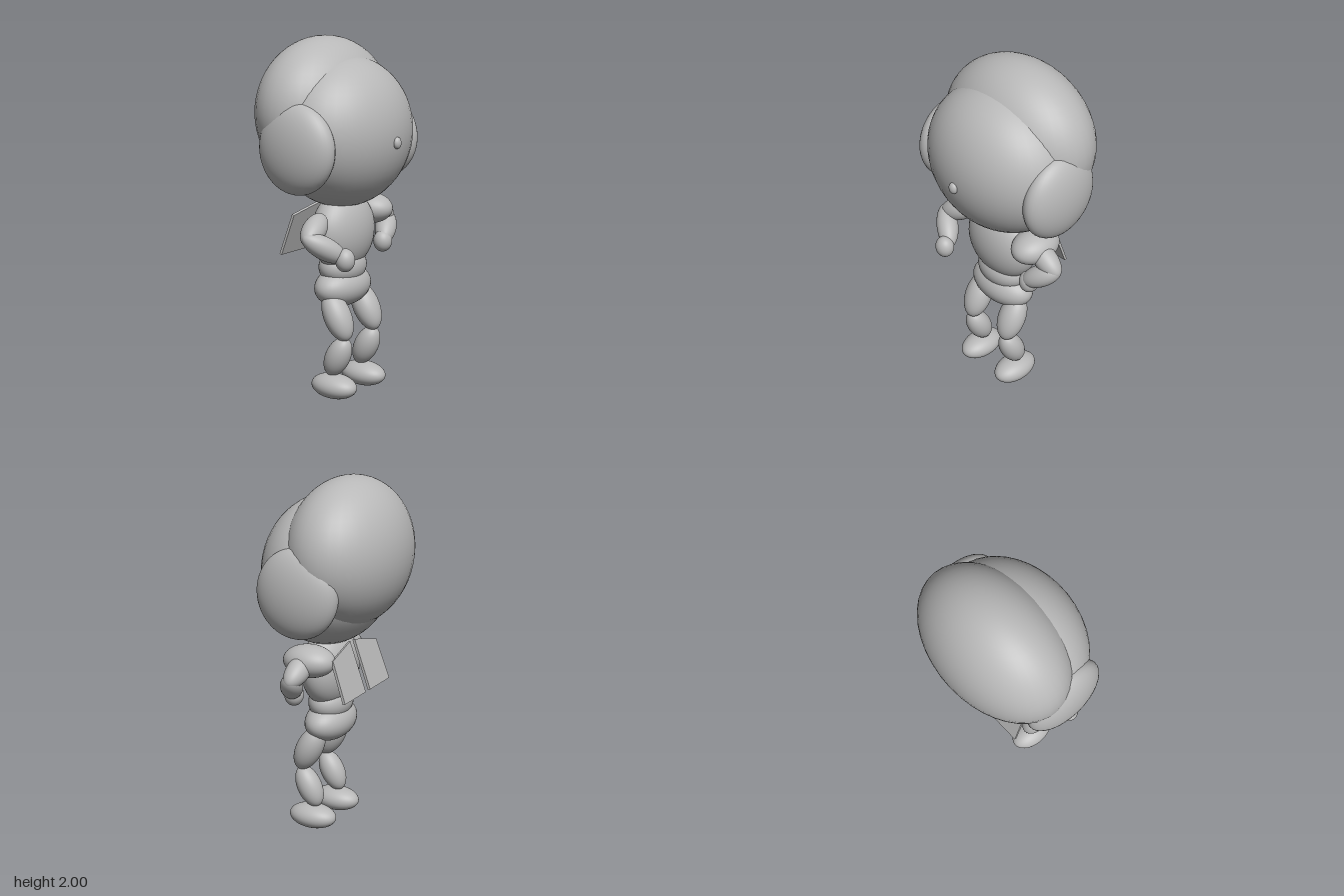
import * as THREE from 'three';

export function createModel() {
  const model = new THREE.Group();
  const grey = new THREE.MeshStandardMaterial({ color: 0xb8b8b8 });
  grey.name = 'plain grey';
  const ball = new THREE.SphereGeometry(1, 40, 28);
  const up = new THREE.Vector3(0, 1, 0);

  // ellipsoid from a centre and three radii
  function ellipsoid(name, centre, radii) {
    const mesh = new THREE.Mesh(ball, grey);
    mesh.name = name;
    mesh.position.set(...centre);
    mesh.scale.set(...radii);
    model.add(mesh);
    return mesh;
  }

  // ellipsoid limb stretched between two tips
  function limb(name, from, to, rx, rz = rx) {
    const a = new THREE.Vector3(...from), b = new THREE.Vector3(...to);
    const middle = a.clone().add(b).multiplyScalar(0.5);
    const mesh = ellipsoid(name, middle.toArray(), [rx, a.distanceTo(b) / 2, rz]);
    mesh.quaternion.setFromUnitVectors(up, b.sub(a).normalize());
  }

  // head
  ellipsoid('face', [0, 1.483, 0.04], [0.45, 0.415, 0.345]);
  ellipsoid('hair', [0, 1.59, -0.09], [0.475, 0.41, 0.315]);
  ellipsoid('nose', [0, 1.44, 0.385], [0.027, 0.032, 0.021]);

  // torso
  ellipsoid('chest', [0, 0.93, 0.035], [0.235, 0.225, 0.14]);
  ellipsoid('waist', [0, 0.73, 0.032], [0.165, 0.11, 0.117]);
  ellipsoid('pelvis', [0, 0.617, 0.033], [0.21, 0.115, 0.127]);

  // arms, bent with the hands towards the hips
  ellipsoid('leftShoulder', [0.253, 1.022, 0.032], [0.112, 0.09, 0.15]);
  limb('leftUpperArm', [0.23, 1.05, 0.04], [0.455, 0.93, 0.055], 0.065);
  limb('leftForearm', [0.45, 0.965, 0.04], [0.26, 0.83, 0.13], 0.062);
  ellipsoid('leftHand', [0.285, 0.83, 0.11], [0.056, 0.063, 0.053]);
  limb('rightUpperArm', [-0.21, 1.04, 0.045], [-0.43, 0.93, 0.1], 0.065);
  limb('rightForearm', [-0.43, 0.965, 0.08], [-0.24, 0.83, 0.22], 0.062);
  ellipsoid('rightHand', [-0.265, 0.832, 0.235], [0.055, 0.063, 0.052]);

  for (const [side, s] of [['left', 1], ['right', -1]]) {
    ellipsoid(side + 'Ear', [s * 0.4, 1.42, 0.02], [0.109, 0.242, 0.236]);

    // legs
    limb(side + 'Thigh', [s * 0.14, 0.604, 0.031], [s * 0.14, 0.346, 0.161], 0.081, 0.075);
    limb(side + 'Calf', [s * 0.14, 0.356, 0.154], [s * 0.14, 0.134, 0.042], 0.07);
    ellipsoid(side + 'Foot', [s * 0.144, 0.073, 0.075], [0.09, 0.07, 0.142]);

    // flat wing plate sloping back from the shoulders
    const outline = new THREE.Shape([[0.027, 0], [0.277, 0], [0.265, 0.24], [0.027, 0.295]]
      .map(([x, y]) => new THREE.Vector2(s * x, y)));
    const plate = new THREE.ExtrudeGeometry(outline, { depth: 0.015, bevelEnabled: false });
    const wing = new THREE.Mesh(plate, grey);
    wing.name = side + 'Wing';
    wing.position.set(0, 0.815, -0.198);
    wing.rotation.x = 0.337;
    model.add(wing);
  }
  return model;
}
